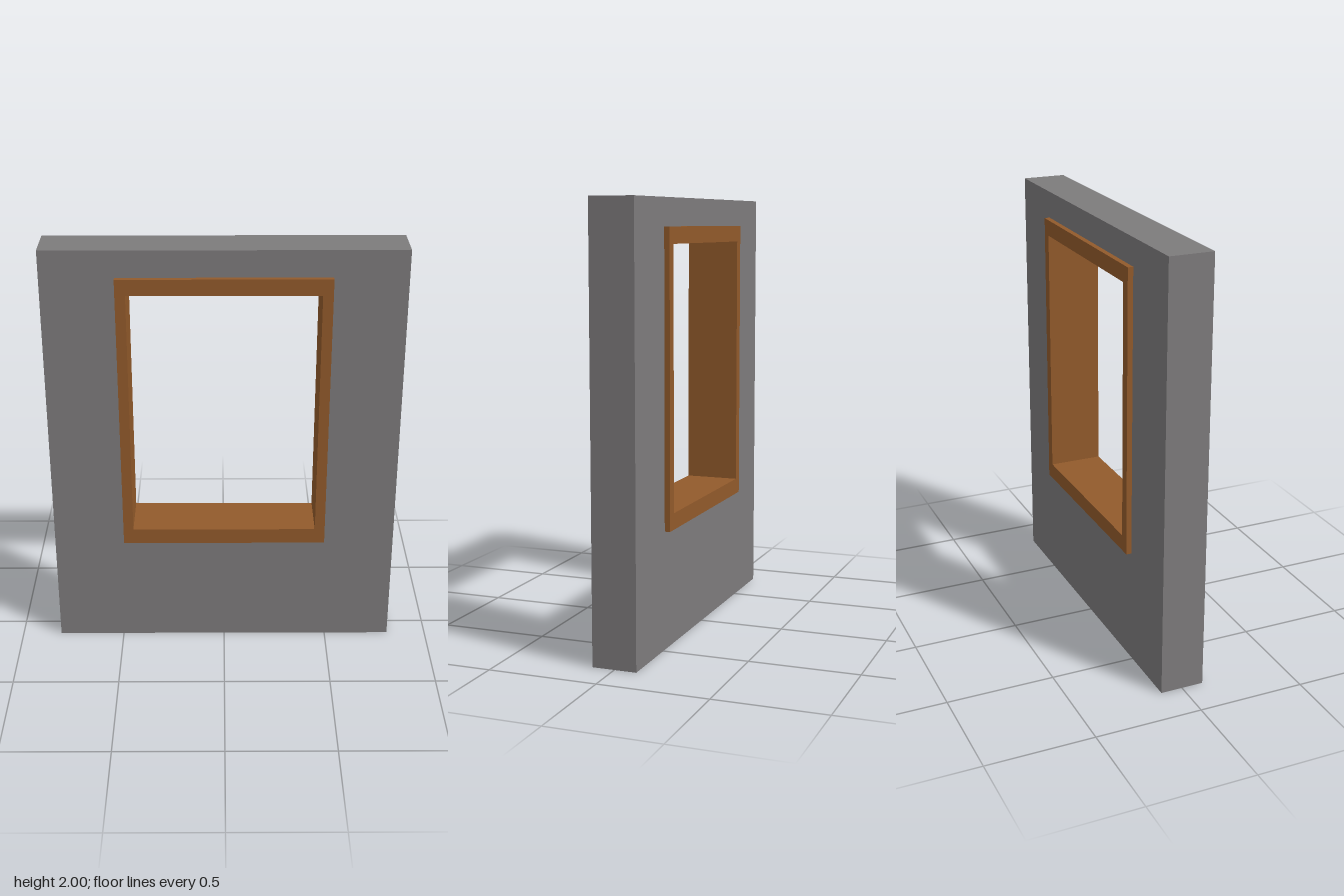
import * as THREE from 'three';

const wallGrey = new THREE.MeshStandardMaterial({ color: 0x7d7b7c });
wallGrey.name = 'wallGrey';
const frameBrown = new THREE.MeshStandardMaterial({ color: 0x925a2b });
frameBrown.name = 'frameBrown';

// Trace a rectangle centred on x = 0 into a shape or hole path
function rect(path, halfWidth, bottom, top) {
  path.moveTo(-halfWidth, bottom);
  path.lineTo(halfWidth, bottom);
  path.lineTo(halfWidth, top);
  path.lineTo(-halfWidth, top);
  path.closePath();
  return path;
}

// Rectangular panel with a rectangular opening, centred in depth
function panel(name, outer, inner, depth, material) {
  const shape = rect(new THREE.Shape(), ...outer);
  shape.holes.push(rect(new THREE.Path(), ...inner));
  const geometry = new THREE.ExtrudeGeometry(shape, { depth, bevelEnabled: false });
  geometry.translate(0, 0, -depth / 2);
  const mesh = new THREE.Mesh(geometry, material);
  mesh.name = name;
  return mesh;
}

export function createModel() {
  const group = new THREE.Group();
  group.name = 'wallWithWindow';
  const frameOuter = [0.48, 0.54, 1.875];
  const frameInner = [0.433, 0.615, 1.8];

  // Wall slab, cut out where the frame sits
  group.add(panel('wall', [0.812, 0, 2], frameOuter, 0.204, wallGrey));
  // Window frame lining the opening and standing proud on both sides
  group.add(panel('windowFrame', frameOuter, frameInner, 0.254, frameBrown));
  return group;
}
